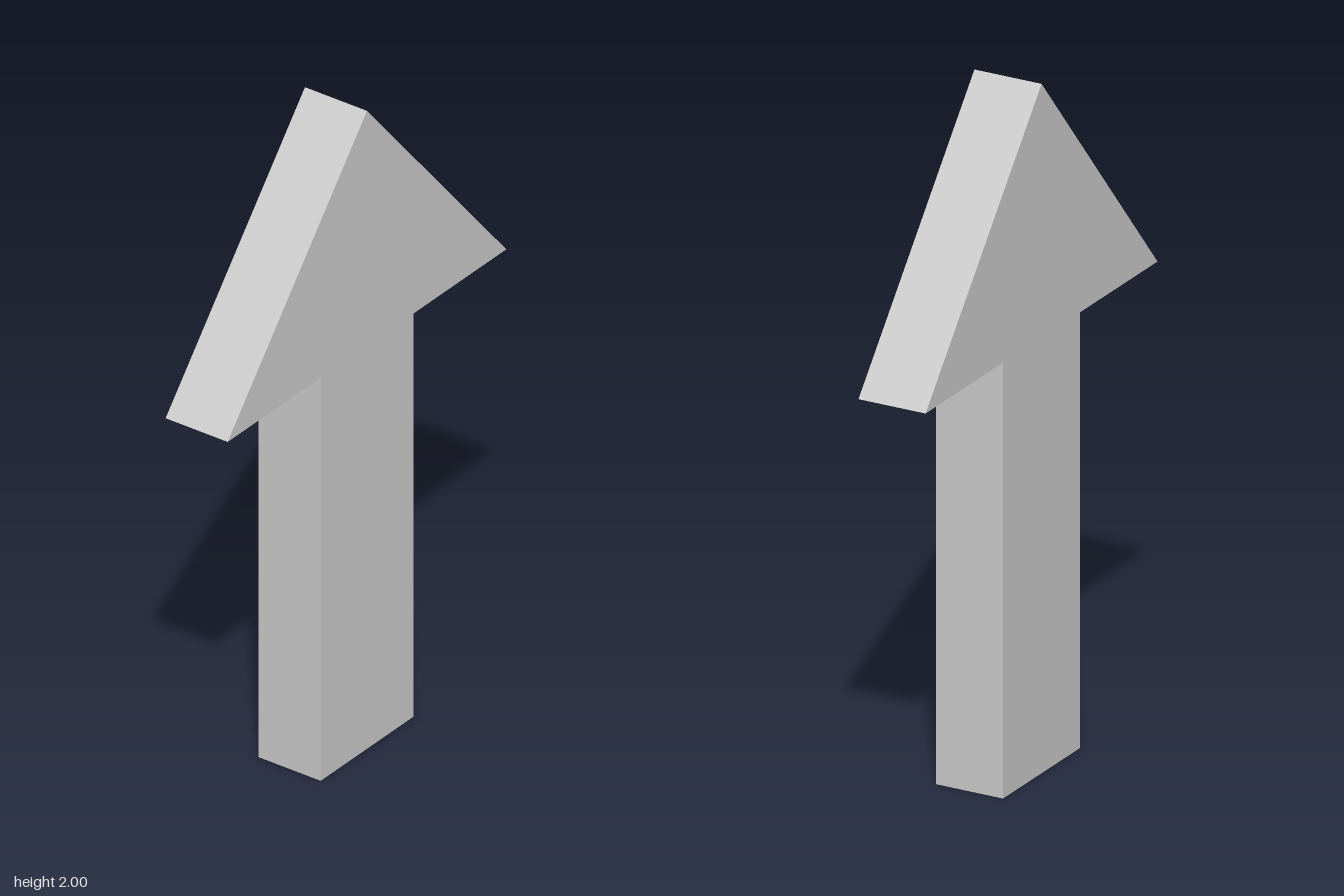
import * as THREE from 'three';

const HEIGHT = 2;
const HEAD_Y = 1.264; // underside of the head
const HEAD_HALF = 0.628;
const SHAFT_HALF = 0.209;
const DEPTH = 0.208;

export function createModel() {
  const group = new THREE.Group();
  group.name = 'upArrow';

  // Right half of the outline from bottom to tip, then mirrored back down
  const half = [[SHAFT_HALF, 0], [SHAFT_HALF, HEAD_Y], [HEAD_HALF, HEAD_Y]];
  const mirrored = half.map(([x, y]) => [-x, y]).reverse();
  const outline = [...half, [0, HEIGHT], ...mirrored];
  const shape = new THREE.Shape(outline.map(([x, y]) => new THREE.Vector2(x, y)));

  // Solid arrow: shaft and head in one slab, centred in depth
  const geometry = new THREE.ExtrudeGeometry(shape, { depth: DEPTH, bevelEnabled: false });
  geometry.translate(0, 0, -DEPTH / 2);

  const material = new THREE.MeshStandardMaterial({ color: 0xcccccc, flatShading: true });
  const arrow = new THREE.Mesh(geometry, material);
  arrow.name = 'arrowBody';
  group.add(arrow);

  return group;
}
